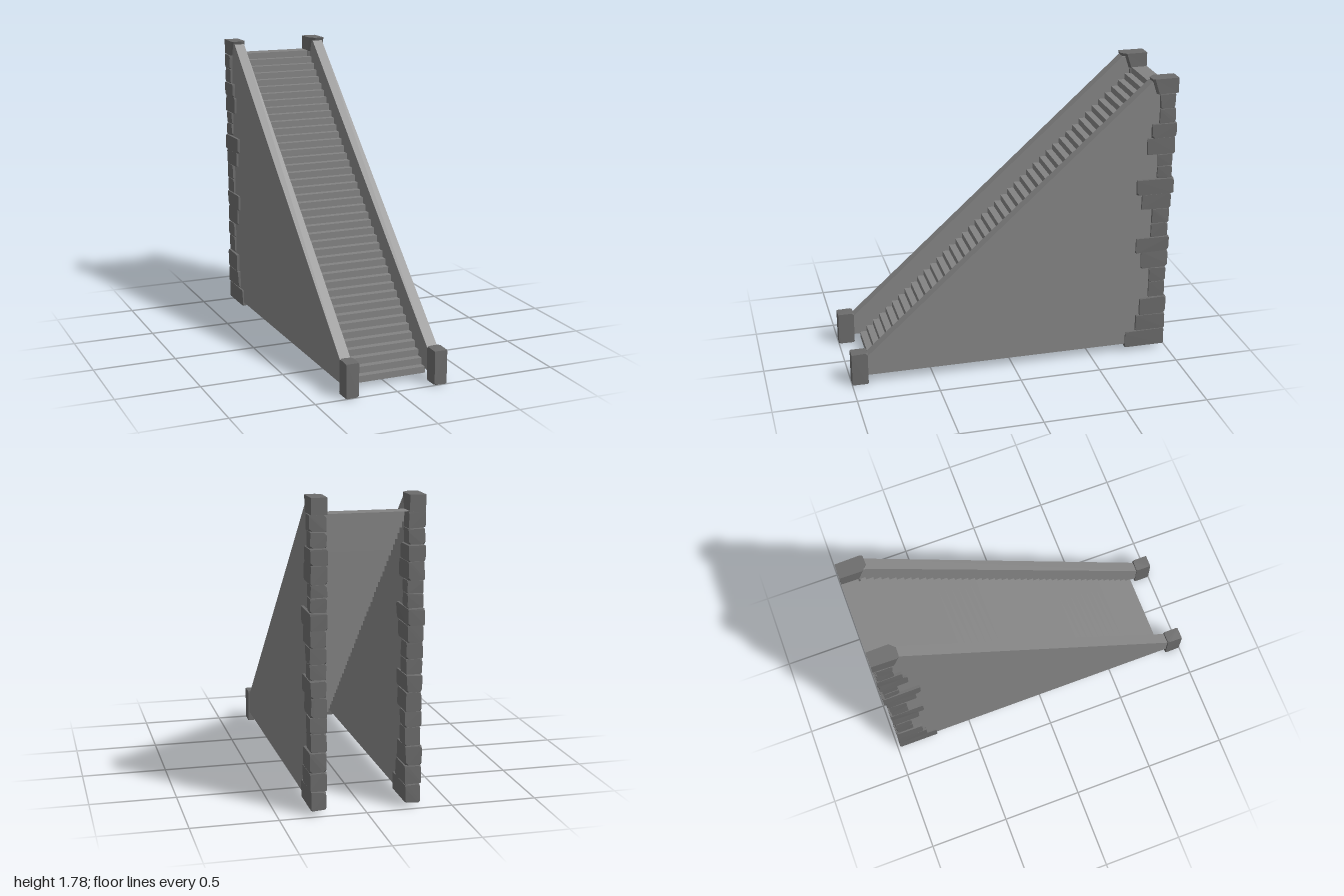
import * as THREE from 'three';
import { ConvexGeometry } from 'three/addons/geometries/ConvexGeometry.js';

const flat = (color, side = THREE.FrontSide) =>
  new THREE.MeshStandardMaterial({ color, side, flatShading: true });
const wallMaterial = flat(0x868686);
const stepMaterial = flat(0x838383, THREE.DoubleSide);
const stoneMaterial = flat(0x6b6b6b);

function seeded(seed) {
  return () => {
    seed = (seed * 16807) % 2147483647;
    return seed / 2147483647;
  };
}

function addMesh(parent, name, geometry, material) {
  const mesh = new THREE.Mesh(geometry, material);
  mesh.name = name;
  parent.add(mesh);
  return mesh;
}

// Hewn block: a box with every corner cut and slightly uneven faces
function hewnBlock(min, max, side, rand, chip, wobble) {
  const points = [];
  for (let i = 0; i < 8; i++) {
    const high = [i & 1, i & 2, i & 4];
    const corner = high.map((h, a) => {
      const inset = rand() * wobble;
      return h ? max[a] - inset : min[a] + inset;
    });
    const cut = chip * (0.4 + rand());
    for (let axis = 0; axis < 3; axis++) {
      const p = corner.slice();
      p[axis] += high[axis] ? -cut : cut;
      points.push(new THREE.Vector3(p[0] * side, p[1], p[2]));
    }
  }
  return new ConvexGeometry(points);
}

// Corner stones from the ground up: [bottom, top, front z, back z]
const STONES = [
  [0.028, 0.137, -0.725, -0.984], [0.138, 0.247, -0.788, -0.984],
  [0.248, 0.362, -0.81, -0.984], [0.363, 0.47, -0.864, -0.974],
  [0.468, 0.563, -0.864, -0.974], [0.563, 0.675, -0.808, -0.984],
  [0.673, 0.772, -0.773, -0.984], [0.773, 0.864, -0.864, -0.974],
  [0.863, 0.958, -0.864, -0.978], [0.957, 1.056, -0.797, -0.984],
  [1.055, 1.152, -0.763, -1.0], [1.152, 1.232, -0.888, -0.984],
  [1.232, 1.308, -0.888, -0.984], [1.308, 1.412, -0.818, -0.995],
  [1.411, 1.503, -0.843, -1.0], [1.502, 1.593, -0.888, -0.99],
  [1.592, 1.687, -0.888, -0.984]
];

function buildSide(side) {
  const group = new THREE.Group();
  group.name = side > 0 ? 'leftSide' : 'rightSide';
  const rand = seeded(4711);

  // Solid triangular side wall, its slope forming the parapet
  const profile = new THREE.Shape([
    [0.91, 0.057], [0.91, 0.175], [-0.84, 1.76], [-0.95, 1.76], [-0.95, 0.05]
  ].map(([z, y]) => new THREE.Vector2(z, y)));
  const thickness = 0.065;
  const wall = new THREE.ExtrudeGeometry(profile, { depth: thickness, bevelEnabled: false });
  wall.rotateY(-Math.PI / 2);
  wall.translate(side * 0.272 + thickness / 2, 0, 0);
  addMesh(group, 'sideWall', wall, wallMaterial);

  // Rough stones stacked along the back edge, standing proud of both wall faces
  STONES.forEach(([bottom, top, front, back], i) => {
    const outer = 0.317 + rand() * 0.009;
    const inner = 0.222 + rand() * 0.006;
    addMesh(group, `cornerStone${i + 1}`,
      hewnBlock([inner, bottom, back], [outer, top, front], side, rand, 0.012, 0.005), stoneMaterial);
  });

  // Cap block, chamfered at the front corners and undercut below
  const cap = new THREE.Shape([
    [0.228, -0.999], [0.318, -0.999], [0.321, -0.85], [0.313, -0.837], [0.257, -0.835], [0.226, -0.868]
  ].map(([x, z]) => new THREE.Vector2(x * side, -z)));
  const capGeometry = new THREE.ExtrudeGeometry(cap, { depth: 0.092, bevelEnabled: false });
  capGeometry.rotateX(-Math.PI / 2);
  capGeometry.translate(0, 1.686, 0);
  const position = capGeometry.attributes.position;
  for (let i = 0; i < position.count; i++) {
    if (position.getY(i) < 1.7 && position.getZ(i) > -0.9) position.setZ(i, position.getZ(i) - 0.03);
  }
  capGeometry.computeVertexNormals();
  addMesh(group, 'topCap', capGeometry, stoneMaterial);

  // Short post at the foot of the stair
  addMesh(group, 'footPost',
    hewnBlock([0.234, 0, 0.898], [0.314, 0.206, 1], side, rand, 0.009, 0.003), stoneMaterial);
  return group;
}

// Open folded flight: a riser and a tread for each step, ending in a deep top tread
function buildSteps() {
  const group = new THREE.Group();
  group.name = 'steps';
  const count = 43, width = 0.485, bottom = 0.03, top = 1.69, front = 0.862, landing = 0.1;
  const rise = (top - bottom) / count;
  const run = (front + 1 - landing) / (count - 1);
  const riser = new THREE.PlaneGeometry(width, rise);
  const tread = new THREE.PlaneGeometry(width, run).rotateX(-Math.PI / 2);
  const topTread = new THREE.PlaneGeometry(width, landing).rotateX(-Math.PI / 2);
  for (let i = 0; i < count; i++) {
    const last = i === count - 1;
    const y = bottom + rise * i;
    const z = front - run * i;
    addMesh(group, `riser${i + 1}`, riser, stepMaterial).position.set(0, y + rise / 2, z);
    addMesh(group, `tread${i + 1}`, last ? topTread : tread, stepMaterial)
      .position.set(0, y + rise, z - (last ? landing : run) / 2);
  }
  return group;
}

export function createModel() {
  const model = new THREE.Group();
  model.name = 'stoneStaircase';
  model.add(buildSteps(), buildSide(1), buildSide(-1));
  return model;
}
